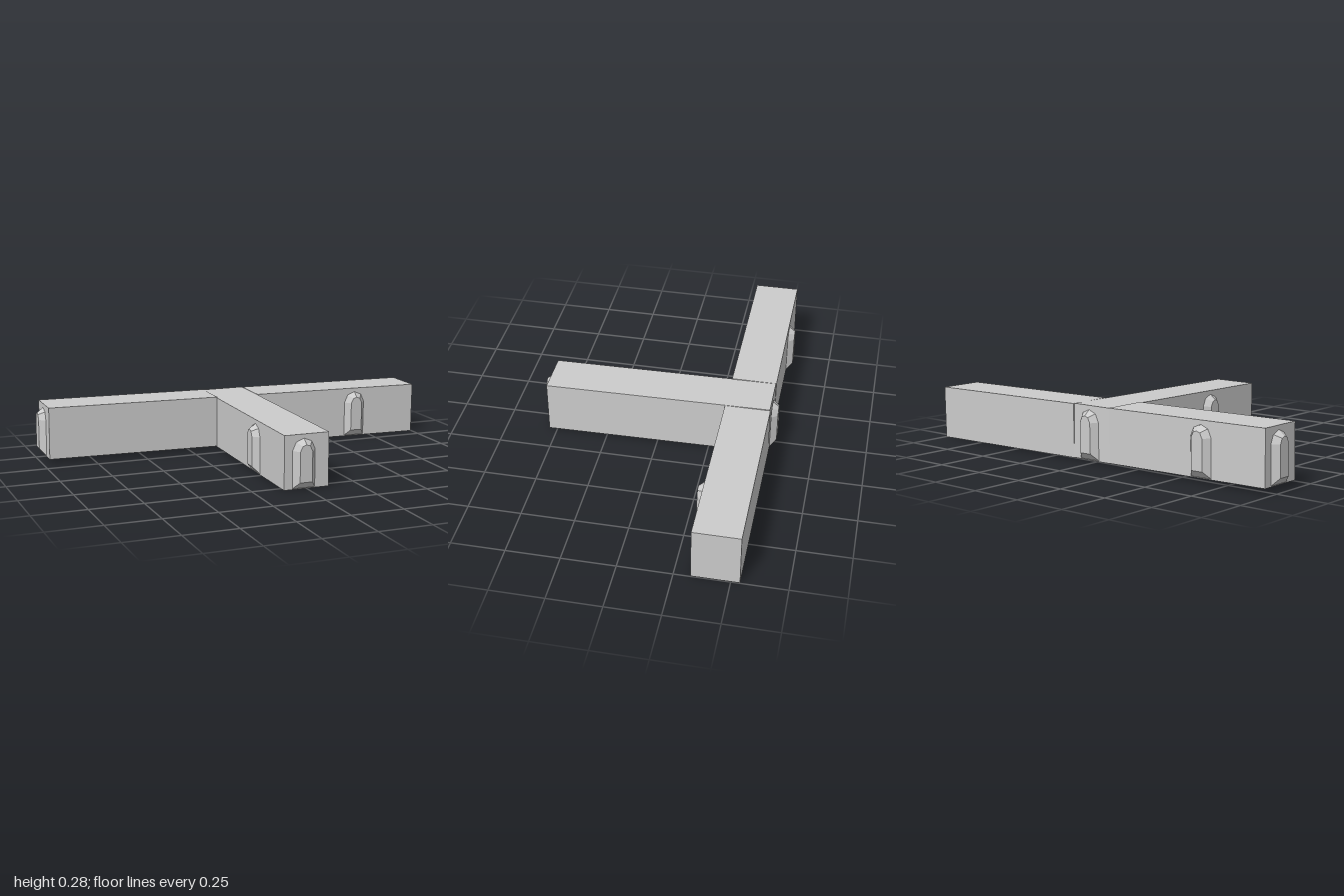
import * as THREE from 'three';

const material = new THREE.MeshStandardMaterial({ color: 0xcccccc, flatShading: true });
const H = 0.253; // beam height

function beam(name, x0, x1, z0, z1) {
  const geo = new THREE.BoxGeometry(x1 - x0, H, z1 - z0);
  geo.translate((x0 + x1) / 2, H / 2, (z0 + z1) / 2);
  const mesh = new THREE.Mesh(geo, material);
  mesh.name = name;
  return mesh;
}

// Raised arch with bevelled rim: an outer outline on the wall, a smaller one in front
function archGeometry(depth) {
  const mirror = (half) => [...half, ...half.slice(0, -1).reverse().map(([x, y]) => [-x, y])];
  const outer = mirror([[0.055, 0.004], [0.055, 0.18], [0.038, 0.218], [0, 0.234]]);
  const inner = mirror([[0.03, 0.036], [0.03, 0.178], [0.018, 0.203], [0, 0.21]]);
  const pos = [];
  const n = outer.length;
  for (let i = 0; i < n; i++) {
    const j = (i + 1) % n;
    const a = [...outer[i], 0], b = [...outer[j], 0];
    const c = [...inner[j], depth], d = [...inner[i], depth];
    pos.push(...a, ...b, ...c, ...a, ...c, ...d);
    pos.push(0, 0.12, depth, ...d, ...c);
  }
  const geo = new THREE.BufferGeometry();
  geo.setAttribute('position', new THREE.Float32BufferAttribute(pos, 3));
  geo.computeVertexNormals();
  return geo;
}

export function createModel() {
  const model = new THREE.Group();
  model.name = 'tBeam';
  const arch = archGeometry(0.03);
  const addArch = (parent, name, x, z, turn) => {
    const mesh = new THREE.Mesh(arch, material);
    mesh.name = name;
    mesh.position.set(x, 0, z);
    mesh.rotation.y = turn;
    parent.add(mesh);
  };

  // Crossbar, sloping gently down towards +x
  const bar = new THREE.Group();
  bar.name = 'crossbar';
  bar.rotation.z = -0.0127;
  bar.position.y = 0.0127;
  bar.add(beam('rightArm', -0.97, -0.11, -0.54, -0.325));
  bar.add(beam('leftArm', 0.108, 0.997, -0.54, -0.325));
  addArch(bar, 'frontArch', 0.655, -0.325, 0);
  addArch(bar, 'backArchOuter', -0.635, -0.54, Math.PI);
  addArch(bar, 'backArchMiddle', 0.01, -0.54, Math.PI);
  addArch(bar, 'endArch', -0.97, -0.445, -Math.PI / 2);
  model.add(bar);

  // Stem, running through the crossbar and sloping gently down towards the front
  const stem = new THREE.Group();
  stem.name = 'stem';
  stem.rotation.x = 0.011;
  stem.position.y = 0.007;
  stem.add(beam('stemBeam', -0.11, 0.108, -0.54, 0.54));
  addArch(stem, 'stemEndArch', -0.015, 0.54, 0);
  addArch(stem, 'stemSideArch', -0.11, 0.195, -Math.PI / 2);
  model.add(stem);

  return model;
}
